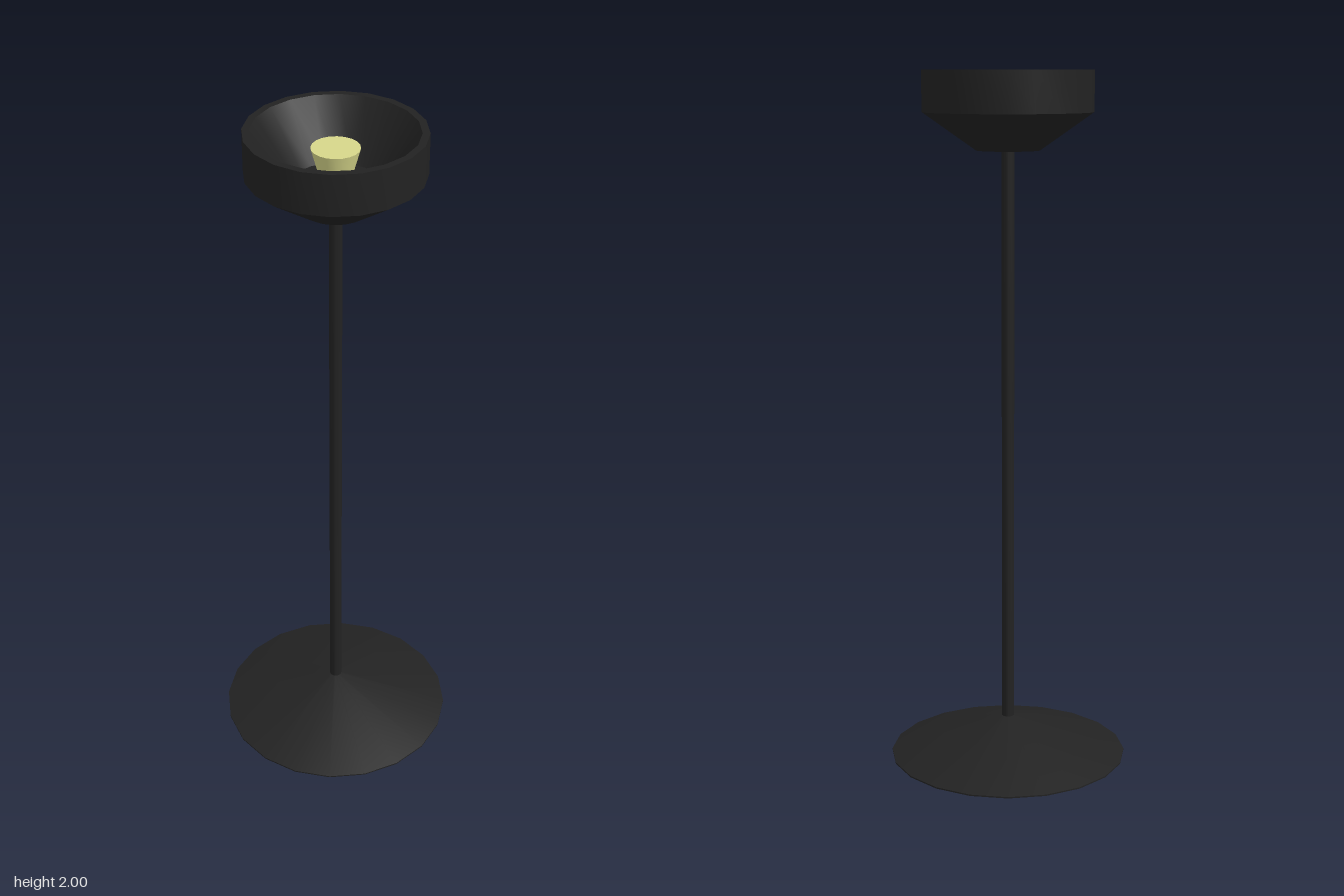
import * as THREE from 'three';
import { toCreasedNormals } from 'three/addons/utils/BufferGeometryUtils.js';

const SIDES = 20;

// Turned part from [radius, height] pairs, listed bottom to top on the outside
function turned(name, profile, material) {
  const points = profile.map(([r, y]) => new THREE.Vector2(r, y));
  const geometry = toCreasedNormals(new THREE.LatheGeometry(points, SIDES), 0.4);
  const mesh = new THREE.Mesh(geometry, material);
  mesh.name = name;
  return mesh;
}

export function createModel() {
  const group = new THREE.Group();
  group.name = 'floorLamp';
  const black = new THREE.MeshStandardMaterial({ color: 0x222222 });
  const glow = new THREE.MeshStandardMaterial({ color: 0xd6d68a });

  // Shallow conical foot with a closed underside
  group.add(turned('base', [[0, 0], [0.347, 0], [0.347, 0.004], [0.018, 0.112], [0, 0.112]], black));

  // Slim pole
  group.add(turned('pole', [[0, 0.1], [0.018, 0.1], [0.018, 1.8], [0, 1.8]], black));

  // Hollow uplight shade: tapered underside, straight wall, flat rim, sloping inside
  group.add(turned('shade', [
    [0, 1.775], [0.09, 1.78], [0.24, 1.885], [0.24, 2],
    [0.22, 2], [0.12, 1.85], [0, 1.85],
  ], black));

  // Bulb, widening towards its flat top
  group.add(turned('bulb', [[0, 1.845], [0.035, 1.845], [0.065, 1.954], [0, 1.954]], glow));

  return group;
}
